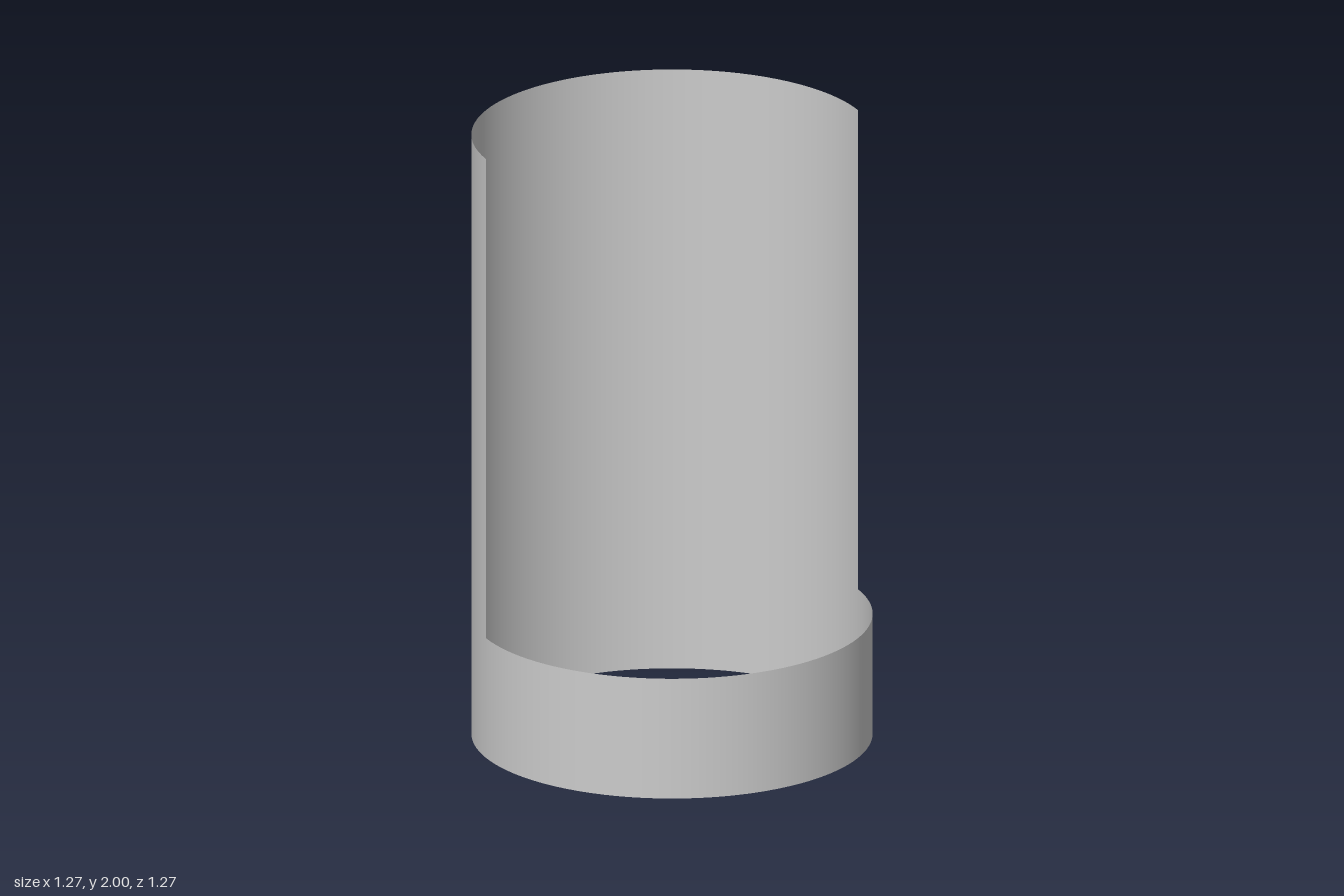
import * as THREE from 'three';

export function createModel() {
  const group = new THREE.Group();
  const radius = 0.634;
  const ringHeight = 0.4;
  const totalHeight = 2;
  const material = new THREE.MeshStandardMaterial({ color: 0xcccccc, side: THREE.DoubleSide });

  // Thin open wall of a cylinder between two heights, over part of a turn
  function addWall(name, bottom, top, segments, start, sweep) {
    const geometry = new THREE.CylinderGeometry(radius, radius, top - bottom, segments, 1, true, start, sweep);
    const wall = new THREE.Mesh(geometry, material);
    wall.name = name;
    wall.position.y = (bottom + top) / 2;
    group.add(wall);
  }

  // Full ring at the bottom
  addWall('baseRing', 0, ringHeight, 120, 0, Math.PI * 2);

  // Half shell rising behind it, turned slightly about the axis
  addWall('backShell', ringHeight, totalHeight, 60, THREE.MathUtils.degToRad(102), Math.PI);

  return group;
}
